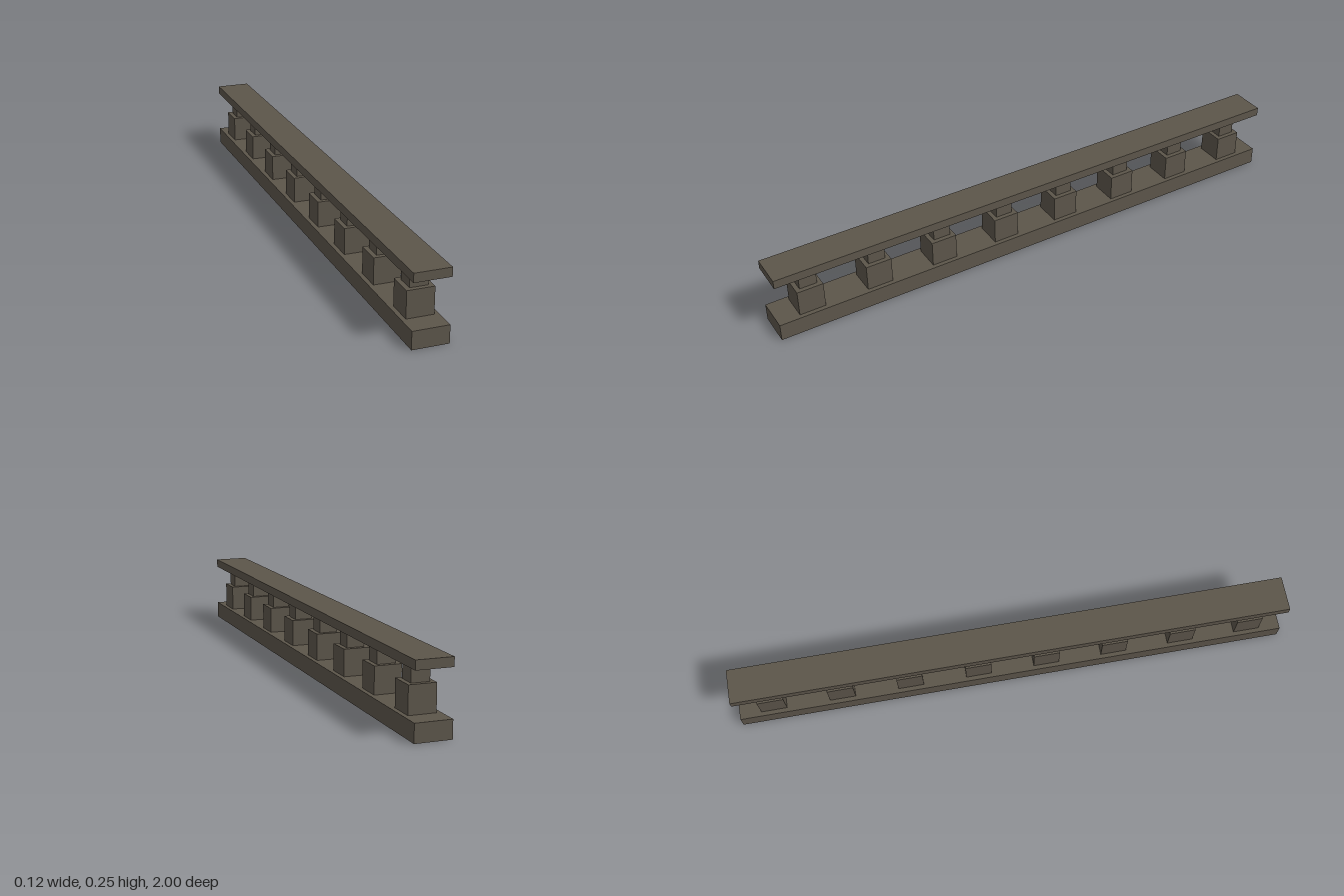
import * as THREE from 'three';

export function createModel() {
  const model = new THREE.Group();
  model.name = 'balustrade';
  const stone = new THREE.MeshStandardMaterial({ color: 0x5c554a });
  stone.name = 'dark stone';

  // Box spanning bottom..top, centred on x = 0
  function addBox(parent, name, width, bottom, top, depth) {
    const mesh = new THREE.Mesh(new THREE.BoxGeometry(width, top - bottom, depth), stone);
    mesh.name = name;
    mesh.position.y = (bottom + top) / 2;
    parent.add(mesh);
  }

  // Long plinth and handrail
  addBox(model, 'base', 0.125, 0, 0.0625, 2);
  addBox(model, 'handrail', 0.125, 0.21875, 0.25, 2);

  // Row of evenly spaced stepped balusters
  const count = 8;
  const spacing = 2 / count;
  for (let i = 0; i < count; i++) {
    const baluster = new THREE.Group();
    baluster.name = `baluster${i + 1}`;
    baluster.position.z = (i - (count - 1) / 2) * spacing;
    addBox(baluster, 'balusterBlock', 0.09375, 0.0625, 0.15625, 0.09375);
    addBox(baluster, 'balusterNeck', 0.0625, 0.15625, 0.21875, 0.0625);
    model.add(baluster);
  }
  return model;
}
